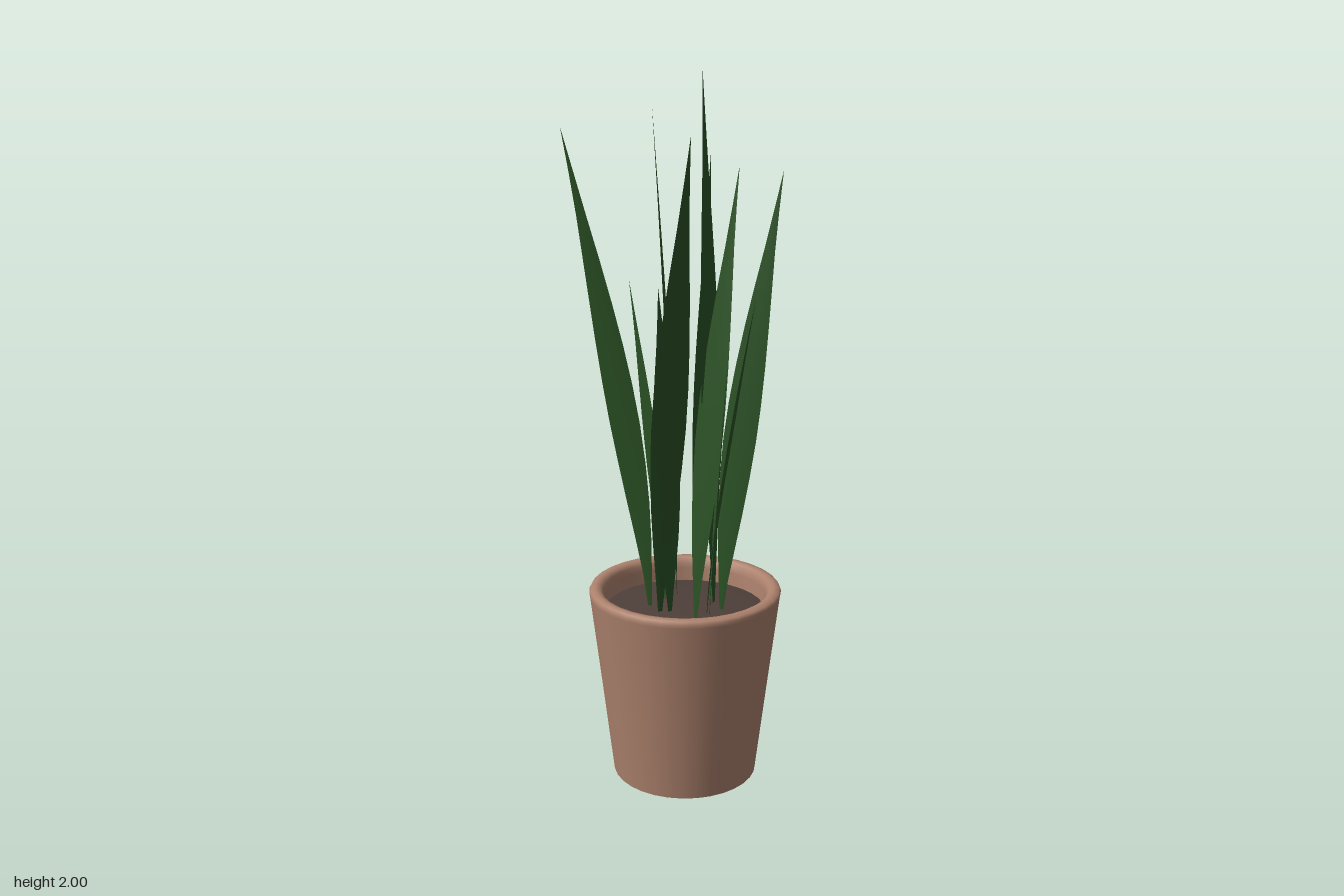
import * as THREE from 'three';

const POT_X = 0.037;
const SOIL_Y = 0.5;

// Half-width of a blade along its length, as a fraction of the maximum
const WIDTHS = [0.1, 0.3, 0.55, 0.77, 0.92, 1, 0.98, 0.88, 0.72, 0.53, 0.32, 0.15, 0];

// Upright blade: base [x, z], tip [x, y, z], direction of its width [x, z], full width
function leafGeometry([bx, bz], [tx, ty, tz], [dx, dz], width) {
  const len = Math.hypot(dx, dz);
  const wx = dx / len, wz = dz / len;
  const pos = [], index = [];
  const rows = WIDTHS.length - 1;
  WIDTHS.forEach((k, i) => {
    const t = i / rows;
    const lean = Math.pow(t, 1.35);
    const half = k * width / 2;
    const x = bx + (tx - bx) * lean;
    const y = SOIL_Y - 0.01 + (ty - SOIL_Y + 0.01) * t;
    const z = bz + (tz - bz) * lean;
    for (const s of [-1, 0, 1]) {
      // the midrib sits slightly behind the two edges
      const fold = s === 0 ? half * 0.12 : 0;
      pos.push(x + wx * half * s - wz * fold, y, z + wz * half * s + wx * fold);
    }
    if (i < rows) {
      for (let c = 0; c < 2; c++) {
        const a = i * 3 + c;
        index.push(a, a + 1, a + 4, a, a + 4, a + 3);
      }
    }
  });
  const geo = new THREE.BufferGeometry();
  geo.setAttribute('position', new THREE.Float32BufferAttribute(pos, 3));
  geo.setIndex(index);
  geo.computeVertexNormals();
  return geo;
}

export function createModel() {
  const model = new THREE.Group();
  model.name = 'pottedPlant';

  const clay = new THREE.MeshStandardMaterial({ color: 0xad826d });
  clay.name = 'clay';
  const earth = new THREE.MeshStandardMaterial({ color: 0x4e3f39 });
  earth.name = 'earth';
  const green = new THREE.MeshStandardMaterial({ color: 0x2b5225, side: THREE.DoubleSide });
  green.name = 'leafGreen';

  const add = (parent, name, geo, mat) => {
    const mesh = new THREE.Mesh(geo, mat);
    mesh.name = name;
    parent.add(mesh);
    return mesh;
  };
  const lathe = (points) =>
    new THREE.LatheGeometry(points.map(([r, y]) => new THREE.Vector2(r, y)), 32);

  // Tapered pot with a rounded rim and an inner wall
  const pot = new THREE.Group();
  pot.name = 'pot';
  pot.position.x = POT_X;
  model.add(pot);
  add(pot, 'potWall', lathe([
    [0.21, 0], [0.243, 0.28], [0.275, 0.545], [0.277, 0.555], [0.272, 0.564],
    [0.258, 0.567], [0.245, 0.564], [0.237, 0.553], [0.234, 0.535], [0.231, 0.48],
  ]), clay);
  const bottom = add(pot, 'potBottom', new THREE.CircleGeometry(0.21, 32), clay);
  bottom.rotation.x = Math.PI / 2;

  // Slightly mounded soil
  add(pot, 'soil', lathe([
    [0.233, SOIL_Y - 0.005], [0.16, SOIL_Y + 0.002], [0.08, SOIL_Y + 0.006], [0, SOIL_Y + 0.007],
  ]), earth);

  // Leaves: base, tip, width direction, width
  const leaves = new THREE.Group();
  leaves.name = 'leaves';
  model.add(leaves);
  [
    [[-0.05, -0.05], [-0.315, 1.86, -0.038], [0.55, 0.83], 0.095],
    [[0.015, -0.075], [-0.055, 1.44, -0.152], [0.15, -1], 0.11],
    [[0.065, -0.09], [0, 1.91, -0.115], [0.55, -0.8], 0.105],
    [[0.115, -0.055], [0.17, 1.78, -0.085], [0.86, -0.5], 0.112],
    [[-0.05, 0.005], [-0.072, 1.84, 0.2], [1, 0.1], 0.105],
    [[-0.025, 0.02], [-0.065, 1.44, 0.025], [1, -0.13], 0.096],
    [[0.12, 0.025], [0.01, 2, 0.123], [0.87, -0.5], 0.11],
    [[0.06, 0.08], [0.23, 1.72, 0.17], [0.62, -0.78], 0.11],
    [[0.11, 0.08], [0.196, 1.75, 0.225], [0.5, 0.87], 0.1],
    [[0.01, 0.1], [0.115, 1.76, 0.14], [0.25, 0.97], 0.1],
    [[0.06, 0.095], [0.035, 1.3, 0.22], [0.5, -0.85], 0.1],
  ].forEach((spec, i) => add(leaves, 'leaf' + (i + 1), leafGeometry(...spec), green));

  return model;
}
